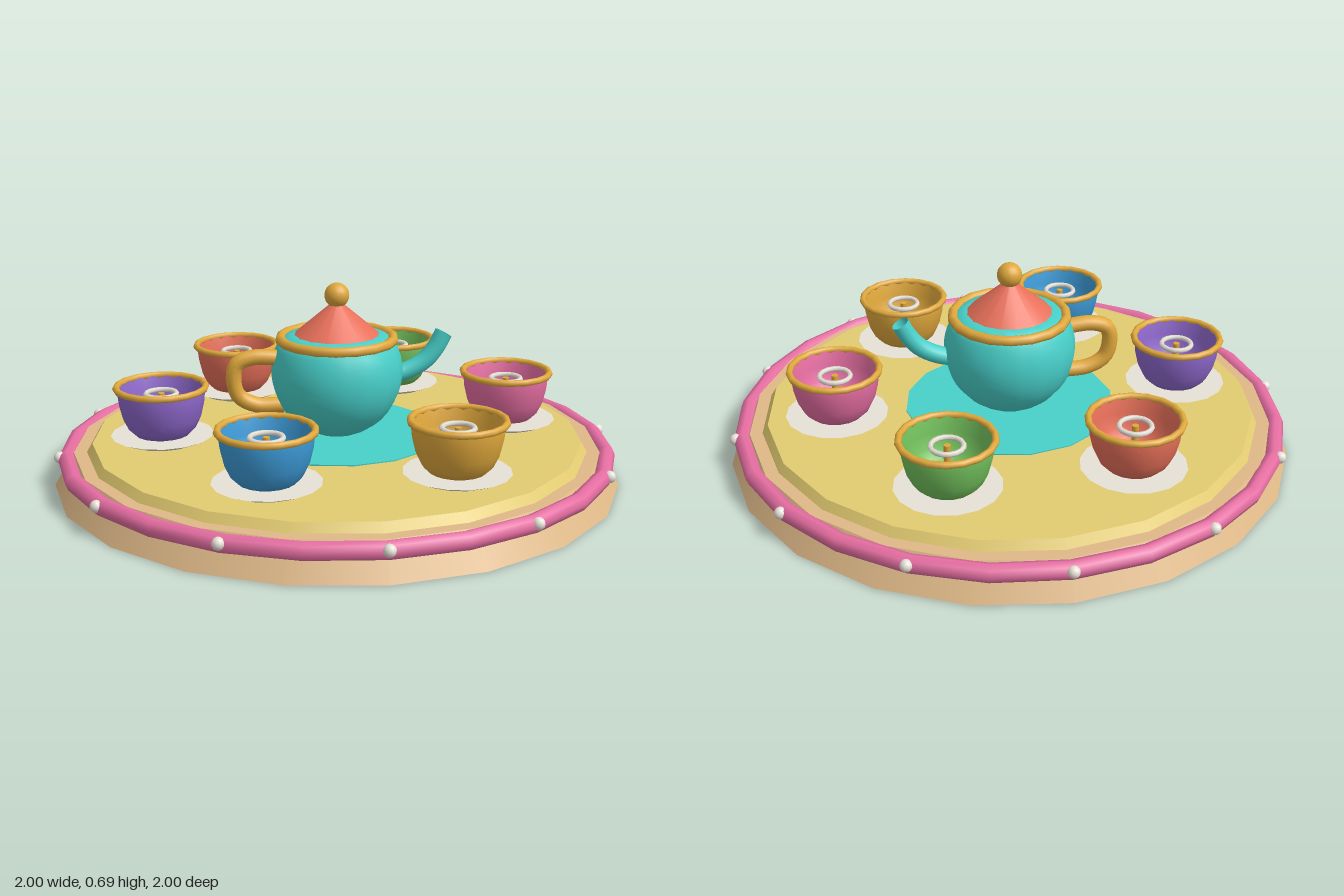
import * as THREE from 'three';

const mat = (name, color, side = THREE.FrontSide) =>
  Object.assign(new THREE.MeshStandardMaterial({ color, side }), { name });

const M = {
  tan: mat('tan', 0xdeb887),
  straw: mat('straw', 0xe2cb70),
  pink: mat('pink', 0xe66ea2),
  white: mat('ivory', 0xe8e2d8),
  teal: mat('teal', 0x48d0ca, THREE.DoubleSide),
  gold: mat('gold', 0xe0a83c),
  red: mat('coral', 0xe8705a),
  purple: mat('purple', 0x8e68cc),
  blue: mat('blue', 0x3d9bd8),
  green: mat('green', 0x72c05c),
};

function add(parent, name, geometry, material, x = 0, y = 0, z = 0) {
  const mesh = new THREE.Mesh(geometry, material);
  mesh.name = name;
  mesh.position.set(x, y, z);
  parent.add(mesh);
  return mesh;
}

// Frustum standing between two heights
const disc = (rTop, rBottom, y0, y1, sides) =>
  new THREE.CylinderGeometry(rTop, rBottom, y1 - y0, sides).translate(0, (y0 + y1) / 2, 0);

// Horizontal ring whose first corner faces the front
const ring = (radius, tube, tubeSides, sides) =>
  new THREE.TorusGeometry(radius, tube, tubeSides, sides).rotateX(Math.PI / 2);

const lathe = (points, sides) =>
  new THREE.LatheGeometry(points.map(([r, y]) => new THREE.Vector2(r, y)), sides);

function pipe(points, radius, segments) {
  const curve = new THREE.CatmullRomCurve3(points.map(([x, y]) => new THREE.Vector3(x, y, 0)));
  return new THREE.TubeGeometry(curve, segments, radius, 10);
}

function createCup(name, material) {
  const cup = new THREE.Group();
  cup.name = name;
  add(cup, 'saucer', disc(0.18, 0.13, 0.148, 0.17, 16), M.white);
  // Bowl: outer wall up to the lip, then inner wall down to the floor
  add(cup, 'bowl', lathe([
    [0, 0.172], [0.095, 0.172], [0.118, 0.195], [0.137, 0.235], [0.149, 0.285], [0.155, 0.34],
    [0.146, 0.34], [0.14, 0.285], [0.128, 0.24], [0.108, 0.205], [0.085, 0.19], [0, 0.19],
  ], 18), material);
  add(cup, 'cupRim', ring(0.156, 0.012, 8, 18), M.gold, 0, 0.34);
  // Turning wheel on its post
  add(cup, 'wheelPost', disc(0.012, 0.012, 0.185, 0.318, 8), M.gold);
  add(cup, 'wheel', ring(0.054, 0.009, 6, 16), M.white, 0, 0.315);
  return cup;
}

function createTeapot() {
  const pot = new THREE.Group();
  pot.name = 'teapot';
  // Round body, cut off at the shoulder
  const body = [[0, 0.147]];
  for (let i = 0; i <= 12; i++) {
    const a = THREE.MathUtils.lerp(-1.22, 0.55, i / 12);
    body.push([0.233 * Math.cos(a), 0.37 + 0.233 * Math.sin(a)]);
  }
  body.push([0.15, 0.507], [0, 0.51]);
  add(pot, 'potBody', lathe(body, 18), M.teal);
  add(pot, 'potRim', ring(0.2, 0.018, 8, 18), M.gold, 0, 0.49);
  add(pot, 'lid', disc(0.022, 0.152, 0.505, 0.615, 16), M.red);
  add(pot, 'lidKnob', new THREE.SphereGeometry(0.044, 16, 12), M.gold, 0, 0.645);
  add(pot, 'spout', pipe([[0.18, 0.345], [0.25, 0.36], [0.315, 0.395], [0.355, 0.44], [0.385, 0.495]],
    0.032, 14), M.teal);
  add(pot, 'handle', pipe([[-0.18, 0.425], [-0.3, 0.432], [-0.355, 0.41], [-0.367, 0.36],
    [-0.35, 0.295], [-0.29, 0.26], [-0.19, 0.255]], 0.028, 24), M.gold);
  return pot;
}

export function createModel() {
  const model = new THREE.Group();
  model.name = 'teacupRide';

  // Platform
  add(model, 'base', disc(0.93, 1, 0, 0.115, 20), M.tan);
  add(model, 'turntable', disc(0.865, 0.885, 0.115, 0.145, 20), M.straw);
  add(model, 'centreMat', disc(0.375, 0.375, 0.143, 0.149, 16), M.teal);
  add(model, 'edgeRail', ring(0.955, 0.031, 8, 24), M.pink, 0, 0.092);

  // Lamps along the rail
  const lamp = new THREE.SphereGeometry(0.021, 10, 8);
  for (let i = 0; i < 12; i++) {
    const a = (i * Math.PI) / 6;
    add(model, 'railLamp', lamp, M.white, 0.979 * Math.cos(a), 0.1, 0.979 * Math.sin(a));
  }

  model.add(createTeapot());

  // Six cups in a circle, starting on the left and going round past the front
  ['pink', 'gold', 'blue', 'purple', 'red', 'green'].forEach((colour, i) => {
    const a = (i * Math.PI) / 3;
    const cup = createCup(colour + 'Cup', M[colour]);
    cup.position.set(0.62 * Math.cos(a), 0, 0.62 * Math.sin(a));
    model.add(cup);
  });

  return model;
}
